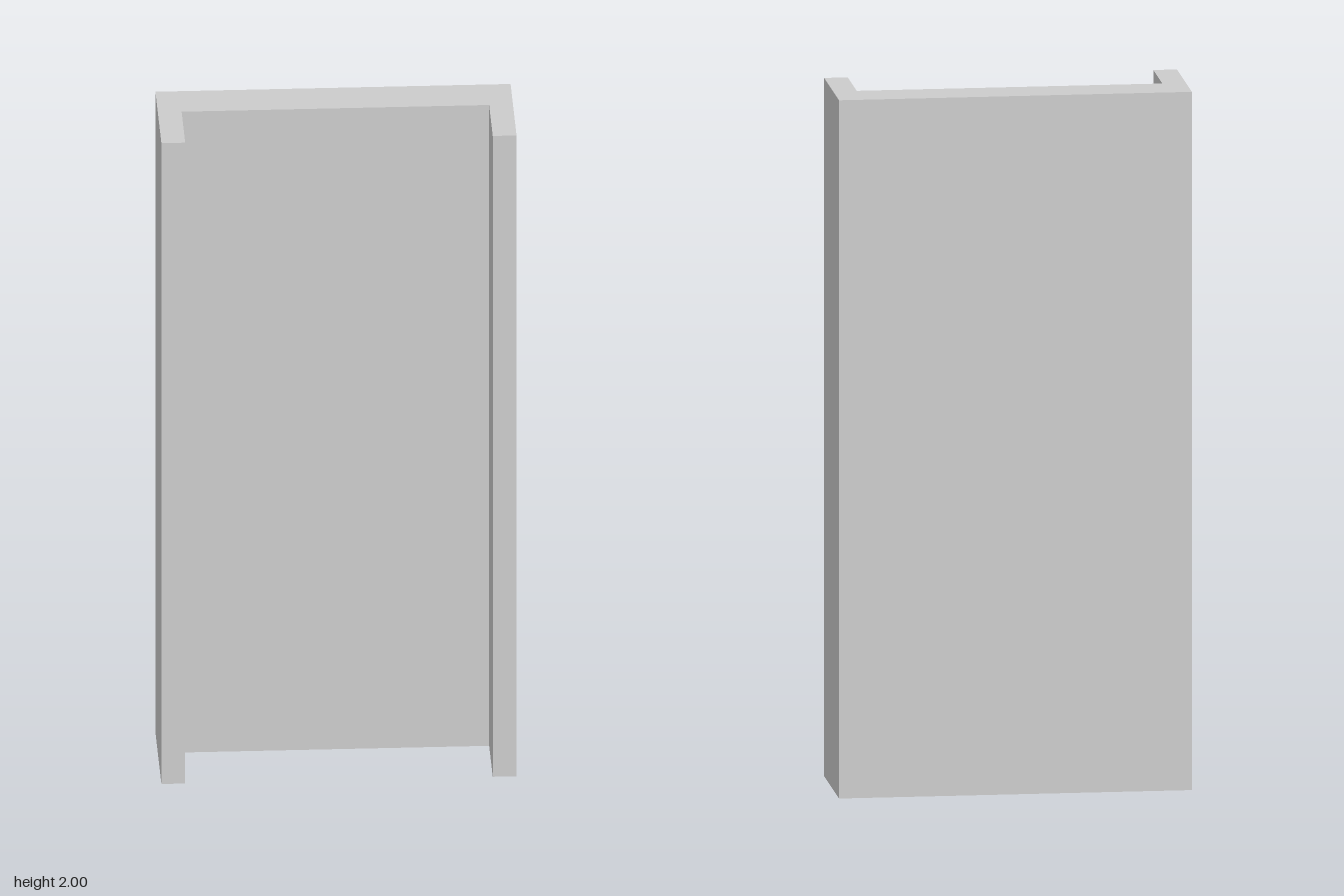
import * as THREE from 'three';

const HEIGHT = 2;
const HALF_WIDTH = 0.5, INNER_HALF = 0.433; // outer and inner half widths
const BACK = -0.167, PANEL_FRONT = -0.034, FRONT = 0.167; // z positions

export function createModel() {
  const group = new THREE.Group();
  group.name = 'channel';

  // U-shaped plan: back web with a flange at each side (x, -z)
  const plan = new THREE.Shape([
    [-HALF_WIDTH, FRONT], [-INNER_HALF, FRONT],
    [-INNER_HALF, PANEL_FRONT], [INNER_HALF, PANEL_FRONT],
    [INNER_HALF, FRONT], [HALF_WIDTH, FRONT],
    [HALF_WIDTH, BACK], [-HALF_WIDTH, BACK],
  ].map(([x, z]) => new THREE.Vector2(x, -z)));

  // Extrude the plan upward
  const geometry = new THREE.ExtrudeGeometry(plan, { depth: HEIGHT, bevelEnabled: false });
  geometry.rotateX(-Math.PI / 2);

  const material = new THREE.MeshStandardMaterial({ color: 0xcccccc, flatShading: true });
  const panel = new THREE.Mesh(geometry, material);
  panel.name = 'flangedPanel';
  group.add(panel);
  return group;
}
